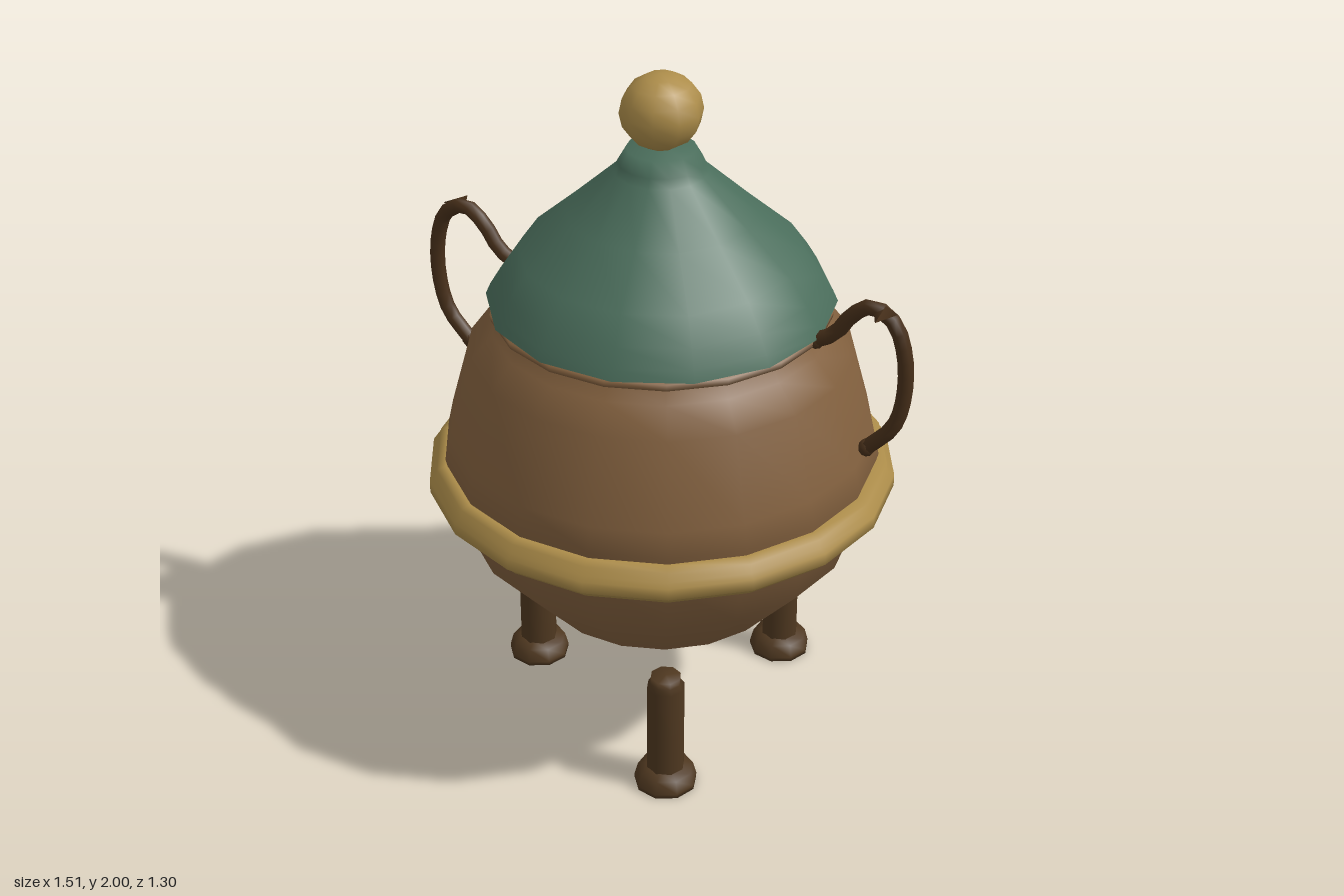
import * as THREE from 'three';

const paint = (name, color) => {
  const m = new THREE.MeshStandardMaterial({ color });
  m.name = name;
  return m;
};

// Lathe from [radius, height] pairs, with a corner of the outline on the x axis
const turned = (pairs, sides) =>
  new THREE.LatheGeometry(pairs.map(([r, y]) => new THREE.Vector2(r, y)), sides, Math.PI / 2);

export function createModel() {
  const clay = paint('clay brown', 0x82603e);
  clay.side = THREE.DoubleSide;
  const glaze = paint('lid green', 0x4a6d5b);
  glaze.side = THREE.DoubleSide;
  const brass = paint('brass', 0xad8d4a);
  const iron = paint('dark iron', 0x4f3820);
  const handleIron = paint('handle iron', 0x48301a);

  const model = new THREE.Group();
  model.name = 'lidded pot';
  const add = (name, geometry, material, parent = model) => {
    const mesh = new THREE.Mesh(geometry, material);
    mesh.name = name;
    parent.add(mesh);
    return mesh;
  };

  // Round bowl, shoulder and lip
  add('body', turned([
    [0, 0.35], [0.29, 0.38], [0.36, 0.41], [0.55, 0.62], [0.588, 0.78],
    [0.615, 0.89], [0.60, 0.96], [0.535, 1.2], [0.47, 1.27], [0.445, 1.31],
  ], 18), clay);
  add('lip', turned([
    [0.445, 1.31], [0.472, 1.315], [0.475, 1.335], [0.44, 1.34],
  ], 18), clay);

  // Stepped band round the widest part
  add('band', turned([
    [0.585, 0.765], [0.635, 0.765], [0.64, 0.785], [0.662, 0.79], [0.662, 0.825],
    [0.643, 0.832], [0.64, 0.86], [0.615, 0.87], [0.585, 0.865],
  ], 18), brass);

  // Conical lid with its knob
  add('lid', turned([
    [0.483, 1.34], [0.47, 1.37], [0.44, 1.42], [0.39, 1.49], [0.26, 1.605],
    [0.13, 1.725], [0.118, 1.75], [0.095, 1.79], [0, 1.795],
  ], 14), glaze);
  const knob = add('knob', new THREE.SphereGeometry(1, 10, 8), brass);
  knob.scale.set(0.112, 0.105, 0.118);
  knob.position.y = 1.895;

  // Two curled handles, one the half turn of the other
  const path = new THREE.CatmullRomCurve3([
    [0.47, 1.33], [0.52, 1.36], [0.57, 1.43], [0.63, 1.47], [0.69, 1.44],
    [0.725, 1.35], [0.728, 1.22], [0.7, 1.12], [0.63, 1.04],
  ].map(([x, y]) => new THREE.Vector3(x, y, 0)));
  for (const side of ['left', 'right']) {
    const handle = new THREE.Group();
    handle.name = side + 'Handle';
    handle.rotation.y = side === 'left' ? 0 : Math.PI;
    model.add(handle);
    add('handleBar', new THREE.TubeGeometry(path, 18, 0.022, 7), handleIron, handle);
    for (const t of [0, 1]) {
      add('handleEnd', new THREE.SphereGeometry(0.025, 7, 5), handleIron, handle)
        .position.copy(path.getPoint(t));
    }
    // Small thorn at the top of the curl
    const thorn = add('handleThorn', new THREE.ConeGeometry(0.035, 0.07, 4), handleIron, handle);
    thorn.position.set(0.665, 1.465, 0.035);
    thorn.rotation.x = Math.PI / 2;
    thorn.scale.z = 0.5;
  }

  // Three legs, each with a flared foot
  for (let i = 0; i < 3; i++) {
    const a = Math.PI / 3 + (i * 2 * Math.PI) / 3;
    const leg = new THREE.Group();
    leg.name = 'leg' + (i + 1);
    leg.position.set(Math.cos(a) * 0.427, 0, Math.sin(a) * 0.427);
    model.add(leg);
    add('legShaft', turned([
      [0.055, 0.04], [0.055, 0.335], [0.044, 0.35], [0.044, 0.37], [0, 0.372],
    ], 8), iron, leg);
    add('foot', turned([
      [0, 0], [0.09, 0], [0.09, 0.012], [0.08, 0.05], [0.05, 0.06],
    ], 9), iron, leg);
  }

  return model;
}
